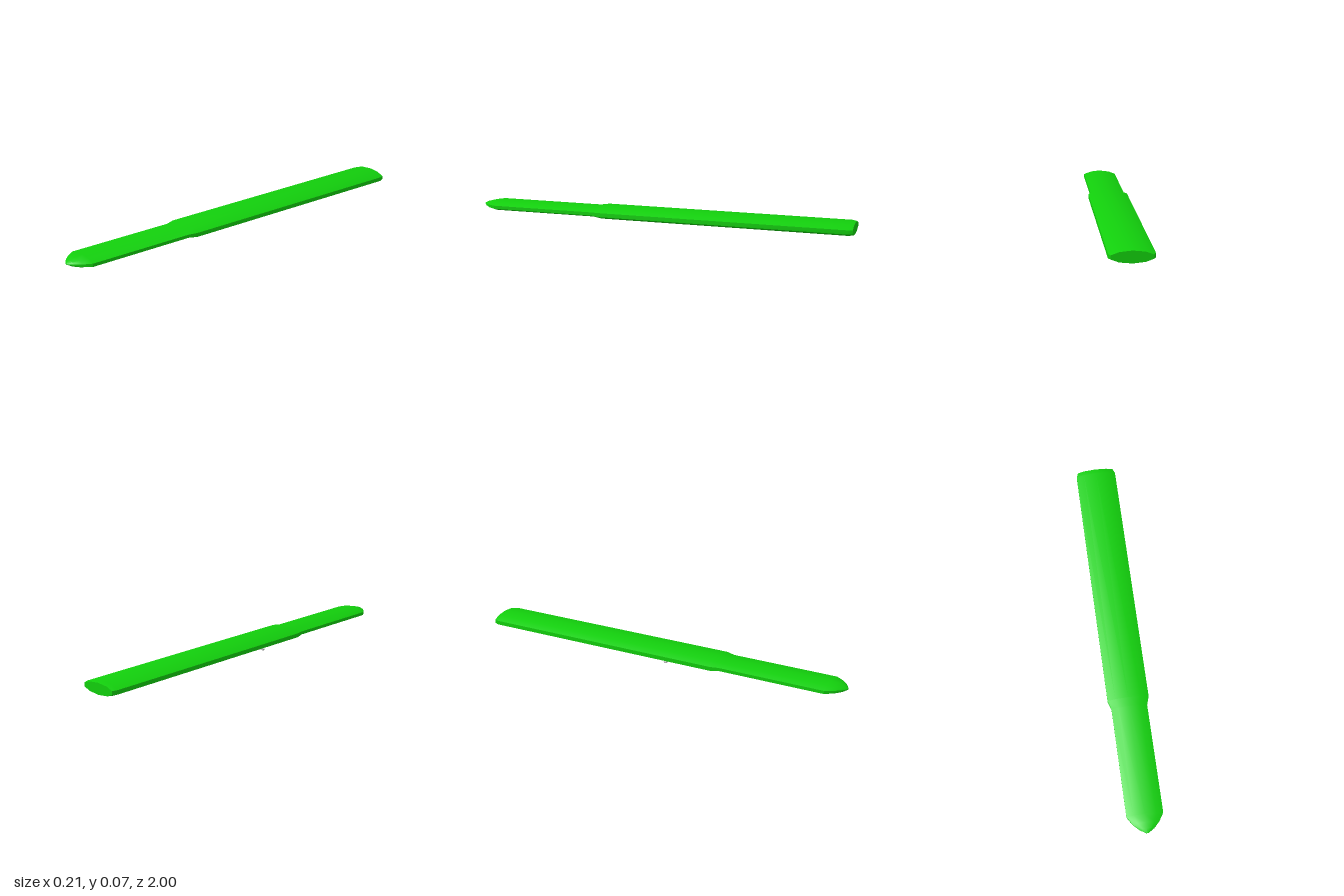
import * as THREE from 'three';
import { toCreasedNormals } from 'three/addons/utils/BufferGeometryUtils.js';

const CENTRE_Y = 0.0355;

// Ten-sided lens section, counter-clockwise from the front, as fractions of half width and half height
const SECTION = [
  [1, -0.32], [1, 0.32], [0.62, 0.8], [0, 1], [-0.62, 0.8],
  [-1, 0.32], [-1, -0.32], [-0.62, -0.8], [0, -1], [0.62, -0.8],
];

// Stations along the length: z, half width, half height
const STATIONS = [
  [-1, 0.095, 0.029],
  [-0.975, 0.105, 0.033],
  [0.31, 0.105, 0.033],
  [0.355, 0.091, 0.026],
  [0.91, 0.091, 0.026],
  [0.95, 0.066, 0.021],
  [0.98, 0.037, 0.013],
  [1, 0.006, 0.003],
];

function loft(stations, section) {
  const n = section.length;
  const positions = [];
  const index = [];
  for (const [z, w, h] of stations) {
    for (const [u, v] of section) positions.push(u * w, CENTRE_Y + v * h, z);
  }
  for (let i = 0; i < stations.length - 1; i++) {
    for (let j = 0; j < n; j++) {
      const a = i * n + j;
      const b = i * n + ((j + 1) % n);
      index.push(a, b, a + n, b, b + n, a + n);
    }
  }
  // Flat caps at both ends
  const last = (stations.length - 1) * n;
  for (let j = 1; j < n - 1; j++) {
    index.push(0, j + 1, j);
    index.push(last, last + j, last + j + 1);
  }
  const geometry = new THREE.BufferGeometry();
  geometry.setAttribute('position', new THREE.Float32BufferAttribute(positions, 3));
  geometry.setIndex(index);
  return toCreasedNormals(geometry.toNonIndexed(), 0.45);
}

export function createModel() {
  const group = new THREE.Group();

  // Wide handle, shoulder, narrower neck and rounded tip in one body
  const body = new THREE.Mesh(
    loft(STATIONS, SECTION),
    new THREE.MeshStandardMaterial({ color: 0x12cf0c }),
  );
  body.name = 'body';
  group.add(body);

  // Tiny grey tab peeking out of the underside
  const tab = new THREE.Mesh(
    new THREE.BoxGeometry(0.026, 0.008, 0.015),
    new THREE.MeshStandardMaterial({ color: 0xcccccc }),
  );
  tab.name = 'undersideTab';
  tab.position.set(-0.075, 0.011, 0.05);
  tab.rotation.z = 0.15;
  group.add(tab);

  return group;
}
